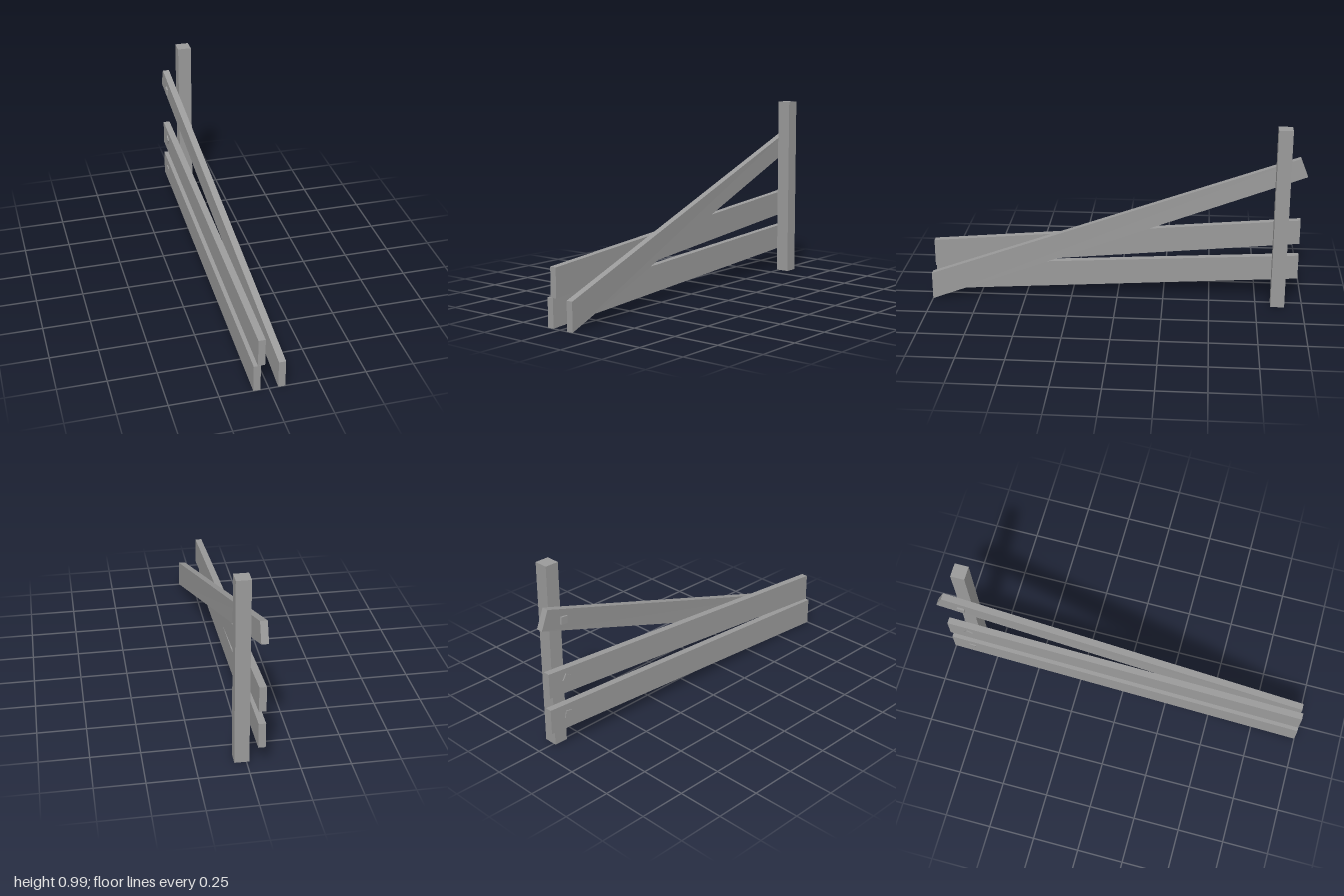
import * as THREE from 'three';

const material = new THREE.MeshStandardMaterial({ color: 0x9a9a9a, flatShading: true, side: THREE.DoubleSide });

function addMesh(group, name, geometry) {
  const mesh = new THREE.Mesh(geometry, material);
  mesh.name = name;
  group.add(mesh);
  return mesh;
}

// Hollow box with no underside (the -y face holds indices 18 to 23)
function openBox(width, height, depth) {
  const geometry = new THREE.BoxGeometry(width, height, depth);
  geometry.setIndex([...geometry.index.array].filter((_, i) => i < 18 || i > 23));
  geometry.clearGroups();
  return geometry;
}

// Plank between two end sections; each end gives its right edge x and its [z, y] bottom and top corners
function plankGeometry(front, back, thickness = 0.036) {
  const geometry = openBox(1, 1, 1);
  const pos = geometry.attributes.position;
  for (let i = 0; i < pos.count; i++) {
    const end = pos.getZ(i) > 0 ? front : back;
    const [z, y] = pos.getY(i) > 0 ? end.top : end.bottom;
    pos.setXYZ(i, end.x + (pos.getX(i) > 0 ? thickness : 0), y, z);
  }
  geometry.computeVertexNormals();
  return geometry;
}

export function createModel() {
  const group = new THREE.Group();
  group.name = 'brokenFence';

  // Upright post
  addMesh(group, 'post', openBox(0.074, 0.992, 0.074)).position.set(0.023, 0.496, -0.868);

  // Sagging rails, the top one fallen across the others
  const rails = [
    ['lowerRail',
      { x: -0.079, bottom: [1, 0], top: [1, 0.149] },
      { x: -0.079, bottom: [-0.975, 0.126], top: [-0.975, 0.261] }],
    ['middleRail',
      { x: -0.058, bottom: [1, 0.15], top: [1, 0.3] },
      { x: -0.079, bottom: [-0.975, 0.33], top: [-0.975, 0.464] }],
    ['fallenTopRail',
      { x: 0.047, bottom: [1, 0], top: [1, 0.15] },
      { x: -0.079, bottom: [-1, 0.709], top: [-0.96, 0.809] }],
  ];
  for (const [name, front, back] of rails) addMesh(group, name, plankGeometry(front, back));

  // Square nail heads, each turned a little differently
  const nails = [[0.198, 0.2], [0.402, 0.55], [0.721, 0.1]];
  for (const [y, turn] of nails) {
    const nail = addMesh(group, 'nailHead', new THREE.BoxGeometry(0.01, 0.038, 0.038));
    nail.position.set(-0.079, y, -0.865);
    nail.rotation.x = turn;
  }
  return group;
}
